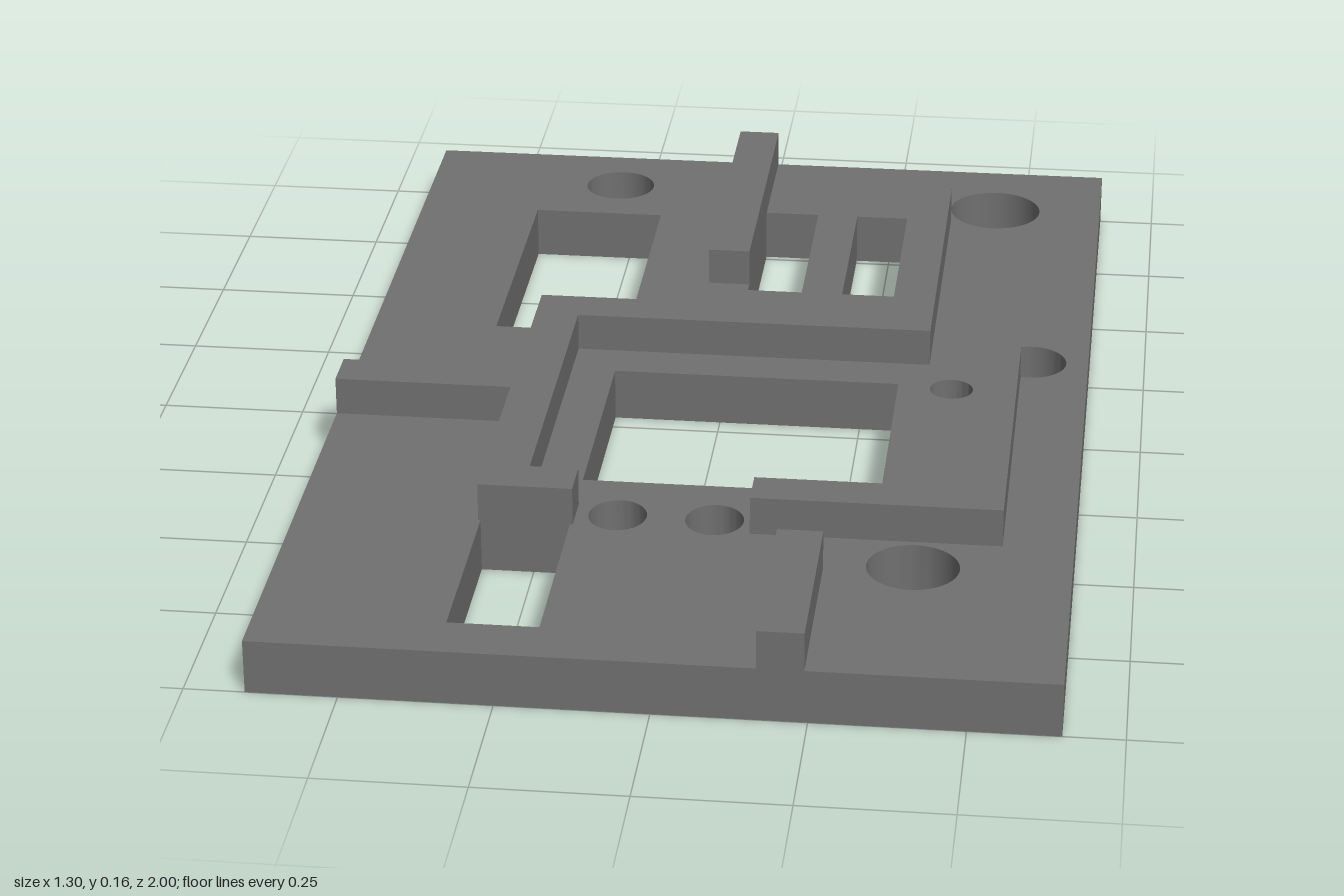
import * as THREE from 'three';
import { toCreasedNormals } from 'three/addons/utils/BufferGeometryUtils.js';

const PLATE_TOP = 0.093;
const WALL_TOP = 0.16;

const material = new THREE.MeshStandardMaterial({ color: 0x707070 });

// Plan outlines are drawn as (x, z) points.
const outline = (points) => new THREE.Shape(points.map(([x, z]) => new THREE.Vector2(x, z)));
const rect = (x0, z0, x1, z1) => outline([[x0, z0], [x1, z0], [x1, z1], [x0, z1]]);
const round = (x, z, rx, rz = rx) => new THREE.Path().absellipse(x, z, rx, rz, 0, Math.PI * 2);

// Raise a plan outline between two heights.
function slab(name, shape, bottom, top) {
  const geometry = new THREE.ExtrudeGeometry(shape, { depth: top - bottom, bevelEnabled: false, curveSegments: 24 });
  geometry.rotateX(Math.PI / 2).translate(0, top, 0);
  const mesh = new THREE.Mesh(toCreasedNormals(geometry, 0.6), material);
  mesh.name = name;
  return mesh;
}

export function createModel() {
  const group = new THREE.Group();
  group.name = 'slottedPlate';

  // Base plate with rectangular windows and round holes
  const plate = rect(-0.65, -1, 0.65, 1);
  plate.holes.push(
    rect(-0.427, -0.728, -0.188, -0.2),
    rect(0.013, -0.762, 0.113, -0.405),
    rect(0.188, -0.762, 0.293, -0.405),
    rect(-0.338, 0.553, -0.188, 0.905),
    round(-0.283, -0.863, 0.065),
    round(0.45, -0.82, 0.085),
    round(0.547, -0.153, 0.064),
    round(0.413, -0.027, 0.038),
    round(-0.113, 0.511, 0.049, 0.054),
    round(0.05, 0.511, 0.049, 0.054),
    round(0.39, 0.641, 0.077),
  );

  // Central window, its front corner merged with a small round hole
  const window = new THREE.Path();
  window.moveTo(-0.188, -0.038);
  window.lineTo(0.318, -0.038);
  window.lineTo(0.318, 0.366);
  window.absarc(0.33, 0.402, 0.038, -1.89, 3.49, false);
  window.lineTo(-0.188, 0.389);
  window.closePath();
  plate.holes.push(window);
  group.add(slab('basePlate', plate, 0, PLATE_TOP));

  // Raised walls standing on the plate
  const walls = {
    backWall: [[-0.062, -1], [0.013, -1], [0.013, -0.43], [-0.062, -0.43]],
    mainWall: [
      [0.293, -0.762], [0.368, -0.762], [0.368, -0.122], [-0.265, -0.122], [-0.265, 0.478], [-0.183, 0.478],
      [-0.183, 0.553], [-0.342, 0.553], [-0.342, 0.183], [-0.65, 0.183], [-0.65, 0.103], [-0.342, 0.103],
      [-0.342, -0.2], [0.293, -0.2],
    ],
    cornerWall: [[0.457, -0.08], [0.532, -0.08], [0.532, 0.553], [0.113, 0.553], [0.113, 0.478], [0.457, 0.478]],
    frontWall: [[0.168, 0.658], [0.244, 0.658], [0.244, 1], [0.168, 1]],
  };
  for (const [name, points] of Object.entries(walls)) {
    group.add(slab(name, outline(points), PLATE_TOP, WALL_TOP));
  }
  return group;
}
